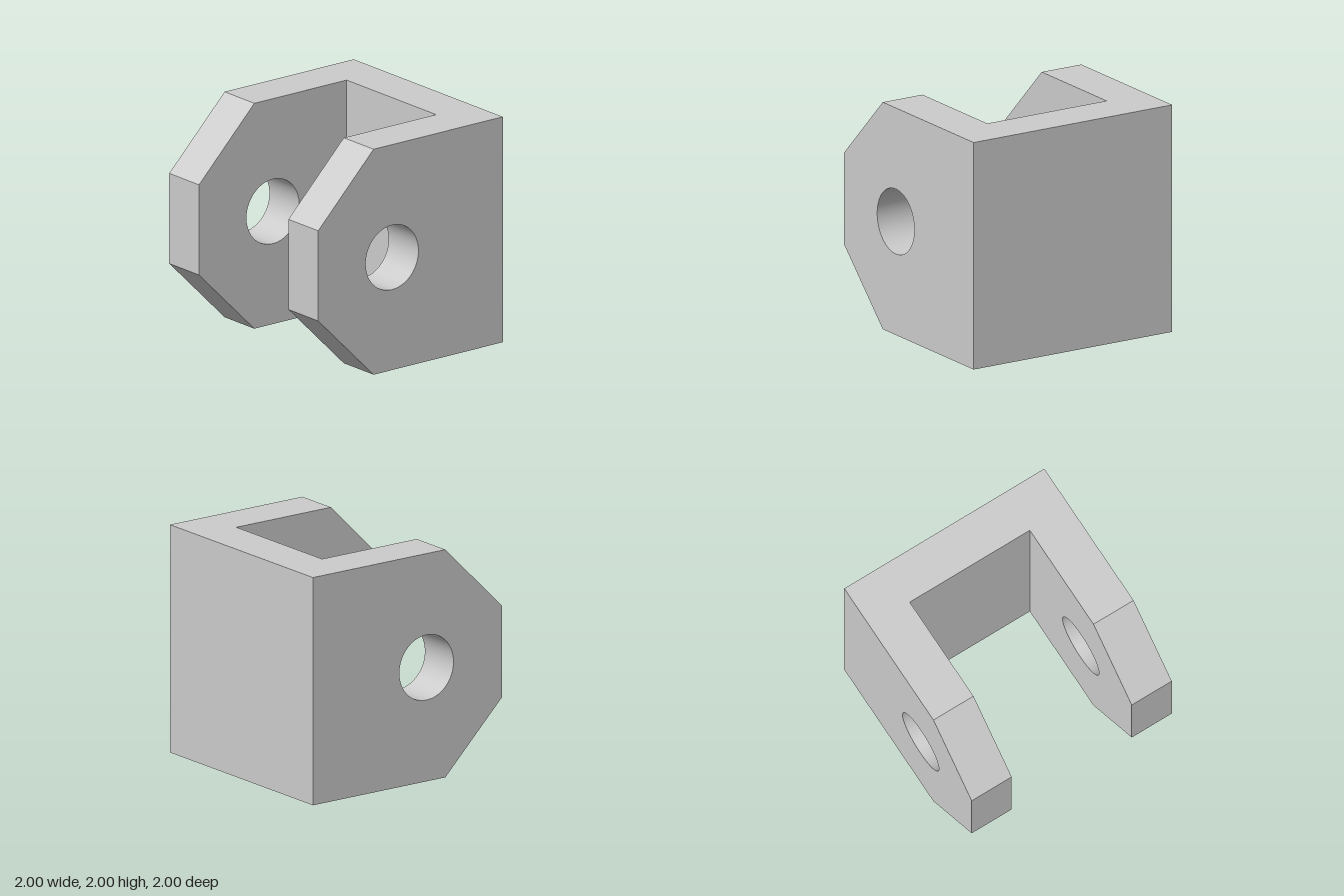
import * as THREE from 'three';
import { toCreasedNormals } from 'three/addons/utils/BufferGeometryUtils.js';

const CHEEK = 0.4; // thickness of cheeks and web

export function createModel() {
  const group = new THREE.Group();
  group.name = 'clevisBracket';
  const material = new THREE.MeshStandardMaterial({ color: 0xcccccc });

  // Cheek outline: chamfered at the open end, with a round pin hole
  const outline = new THREE.Shape([
    [0.6, 0], [0.6, 2], [-0.4, 2], [-1, 1.4], [-1, 0.6], [-0.4, 0],
  ].map(([x, y]) => new THREE.Vector2(x, y)));
  outline.holes.push(new THREE.Path().absarc(-0.2, 1, 0.286, 0, Math.PI * 2, true));

  const cheekGeometry = toCreasedNormals(
    new THREE.ExtrudeGeometry(outline, { depth: CHEEK, bevelEnabled: false, curveSegments: 64 }),
    0.5,
  );

  // Two parallel cheeks, front and back
  for (const [name, z] of [['frontCheek', 1 - CHEEK], ['backCheek', -1]]) {
    const cheek = new THREE.Mesh(cheekGeometry, material);
    cheek.name = name;
    cheek.position.z = z;
    group.add(cheek);
  }

  // Web plate joining the cheeks
  const web = new THREE.Mesh(new THREE.BoxGeometry(CHEEK, 2, 2), material);
  web.name = 'webPlate';
  web.position.set(1 - CHEEK / 2, 1, 0);
  group.add(web);

  return group;
}
